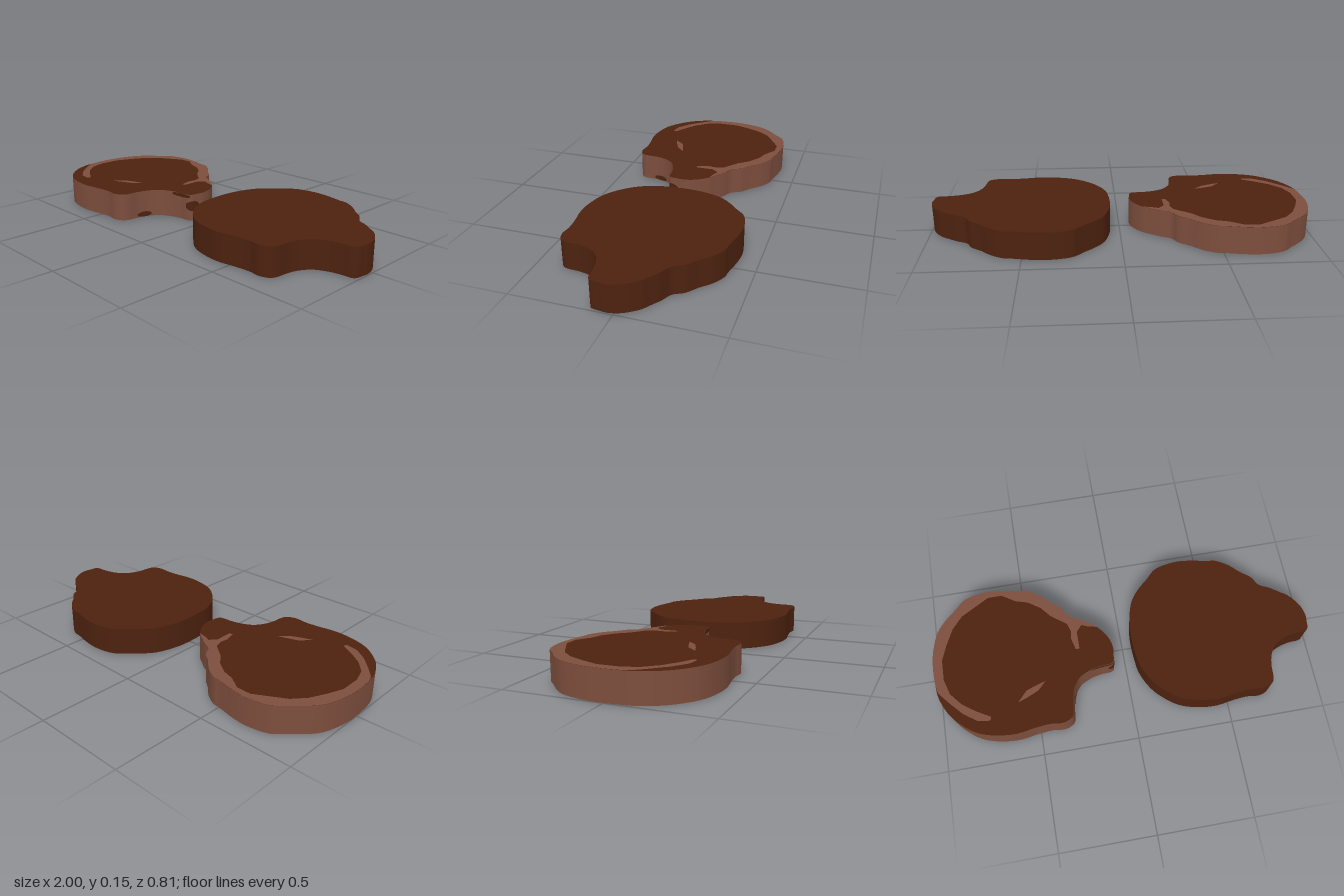
import * as THREE from 'three';

const H = 0.146, STEPS = 5;
const mat = (name, color, side = THREE.FrontSide) => {
  const m = new THREE.MeshStandardMaterial({ color, side });
  m.name = name;
  return m;
};

// Slab outline as x, z pairs, from the tip round the back
const OUTLINE = [
  [0.47, 0.03], [0.455, -0.03], [0.405, -0.1], [0.37, -0.125], [0.32, -0.16], [0.265, -0.19],
  [0.235, -0.24], [0.18, -0.285], [0.14, -0.325], [0.115, -0.345], [0.06, -0.375], [0.02, -0.38],
  [-0.08, -0.4], [-0.165, -0.405], [-0.275, -0.38], [-0.33, -0.33], [-0.39, -0.275], [-0.435, -0.215],
  [-0.465, -0.12], [-0.475, -0.04], [-0.47, 0.08], [-0.46, 0.145], [-0.425, 0.225], [-0.385, 0.28],
  [-0.31, 0.345], [-0.25, 0.375], [-0.165, 0.395], [-0.085, 0.4], [0.02, 0.385], [0.09, 0.38],
  [0.155, 0.385], [0.205, 0.36], [0.22, 0.265], [0.235, 0.215], [0.27, 0.165], [0.325, 0.135],
  [0.385, 0.12], [0.455, 0.11], [0.467, 0.06]
];
// Inner edge of the pale rim, from the front end round to the back
const RIM_INNER = [
  [-0.46, 0.12], [-0.41, 0.18], [-0.345, 0.25], [-0.275, 0.3], [-0.21, 0.31], [-0.205, 0.29],
  [-0.275, 0.25], [-0.345, 0.2], [-0.4, 0.135], [-0.425, 0.055], [-0.425, -0.055], [-0.395, -0.135],
  [-0.355, -0.22], [-0.3, -0.285], [-0.23, -0.325], [-0.15, -0.37], [-0.075, -0.37], [-0.005, -0.325],
  [0.06, -0.305], [0.125, -0.26], [0.17, -0.205], [0.25, -0.145]
];
const RIM_HOOK = [[0.265, -0.1], [0.26, -0.055], [0.275, 0.005], [0.295, 0.005], [0.295, -0.09], [0.325, -0.125], [0.36, -0.11]];
const STREAK = [[0.095, 0.15], [0.045, 0.165], [-0.01, 0.185], [-0.06, 0.24], [-0.005, 0.22], [0.05, 0.195]];
// Small pale chips on the underside of the dark slab
const CHIPS = [
  [[0.39, -0.11], [0.36, -0.125], [0.34, -0.115], [0.37, -0.095]],
  [[0.32, -0.15], [0.27, -0.18], [0.25, -0.165], [0.3, -0.14]],
  [[-0.02, -0.38], [-0.13, -0.395], [-0.12, -0.375], [-0.03, -0.355]]
];

const curve = new THREE.CatmullRomCurve3(OUTLINE.map(([x, z]) => new THREE.Vector3(x, 0, z)), true);
const edge = curve.getPoints(OUTLINE.length * STEPS).slice(0, -1).map((p) => [p.x, p.z]);

const shapeOf = (pts, sign) => new THREE.Shape(pts.map(([x, z]) => new THREE.Vector2(x, sign * z)));

function slab(name, capMat, wallMat) {
  const geo = new THREE.ExtrudeGeometry(shapeOf(edge, -1), { depth: H - 0.001, bevelEnabled: false });
  geo.rotateX(-Math.PI / 2).translate(0, 0.001, 0);
  const mesh = new THREE.Mesh(geo, [capMat, wallMat]);
  mesh.name = name;
  return mesh;
}

// Flat patch lying on the top or underside
function patch(name, pts, material, y, up) {
  const geo = new THREE.ShapeGeometry(shapeOf(pts, up ? -1 : 1));
  geo.rotateX(up ? -Math.PI / 2 : Math.PI / 2).translate(0, y, 0);
  const mesh = new THREE.Mesh(geo, material);
  mesh.name = name;
  return mesh;
}

// Curved spot on the wall between two outline samples
function wallSpot(name, from, to, y0, y1, material) {
  const pos = [], index = [], n = edge.length, mid = (y0 + y1) / 2;
  for (let i = from; i <= to; i++) {
    const a = edge[(i + n - 1) % n], p = edge[i % n], b = edge[(i + 1) % n];
    const tx = b[0] - a[0], tz = b[1] - a[1], len = Math.hypot(tx, tz);
    const x = p[0] - (tz / len) * 0.002, z = p[1] + (tx / len) * 0.002;
    const half = ((y1 - y0) / 2) * Math.sqrt(Math.sin((Math.PI * (i - from + 0.5)) / (to - from + 1)));
    pos.push(x, mid - half, z, x, mid + half, z);
    const k = (i - from) * 2;
    if (i < to) index.push(k, k + 2, k + 3, k, k + 3, k + 1);
  }
  const geo = new THREE.BufferGeometry();
  geo.setAttribute('position', new THREE.Float32BufferAttribute(pos, 3));
  geo.setIndex(index);
  geo.computeVertexNormals();
  const mesh = new THREE.Mesh(geo, material);
  mesh.name = name;
  return mesh;
}

export function createModel() {
  const dark = mat('darkBrown', 0x4d220f);
  const pale = mat('paleBrown', 0x7d4e3d);
  const red = mat('redBrown', 0x823830);
  const grey = mat('greyBrown', 0x85624f);

  const model = new THREE.Group();
  model.name = 'slabPair';

  // Plain dark slab
  const darkSlab = new THREE.Group();
  darkSlab.name = 'darkSlab';
  darkSlab.position.x = 0.525;
  darkSlab.add(slab('darkBody', dark, dark));
  CHIPS.forEach((c) => darkSlab.add(patch('undersideChip', c, grey, 0, false)));

  // Pale-walled slab with rim and reddish underside
  const paleSlab = new THREE.Group();
  paleSlab.name = 'paleSlab';
  paleSlab.position.x = -0.525;
  const outer = edge.slice(2 * STEPS, 20 * STEPS + 1);
  paleSlab.add(
    slab('paleBody', dark, pale),
    patch('topRim', [...outer, ...RIM_INNER, ...RIM_HOOK], pale, H + 0.001, true),
    patch('topStreak', STREAK, pale, H + 0.001, true),
    patch('underside', edge, red, 0.0005, false),
    patch('undersideRim', [...outer, ...RIM_INNER], grey, -0.0005, false),
    wallSpot('upperSpot', 35 * STEPS + 1, 37 * STEPS, 0.125, H, dark),
    wallSpot('tipSpot', 36 * STEPS + 3, 38 * STEPS, 0.055, 0.11, dark),
    wallSpot('biteSpot', 159, 166, 0.001, 0.03, dark)
  );

  model.add(darkSlab, paleSlab);
  return model;
}
